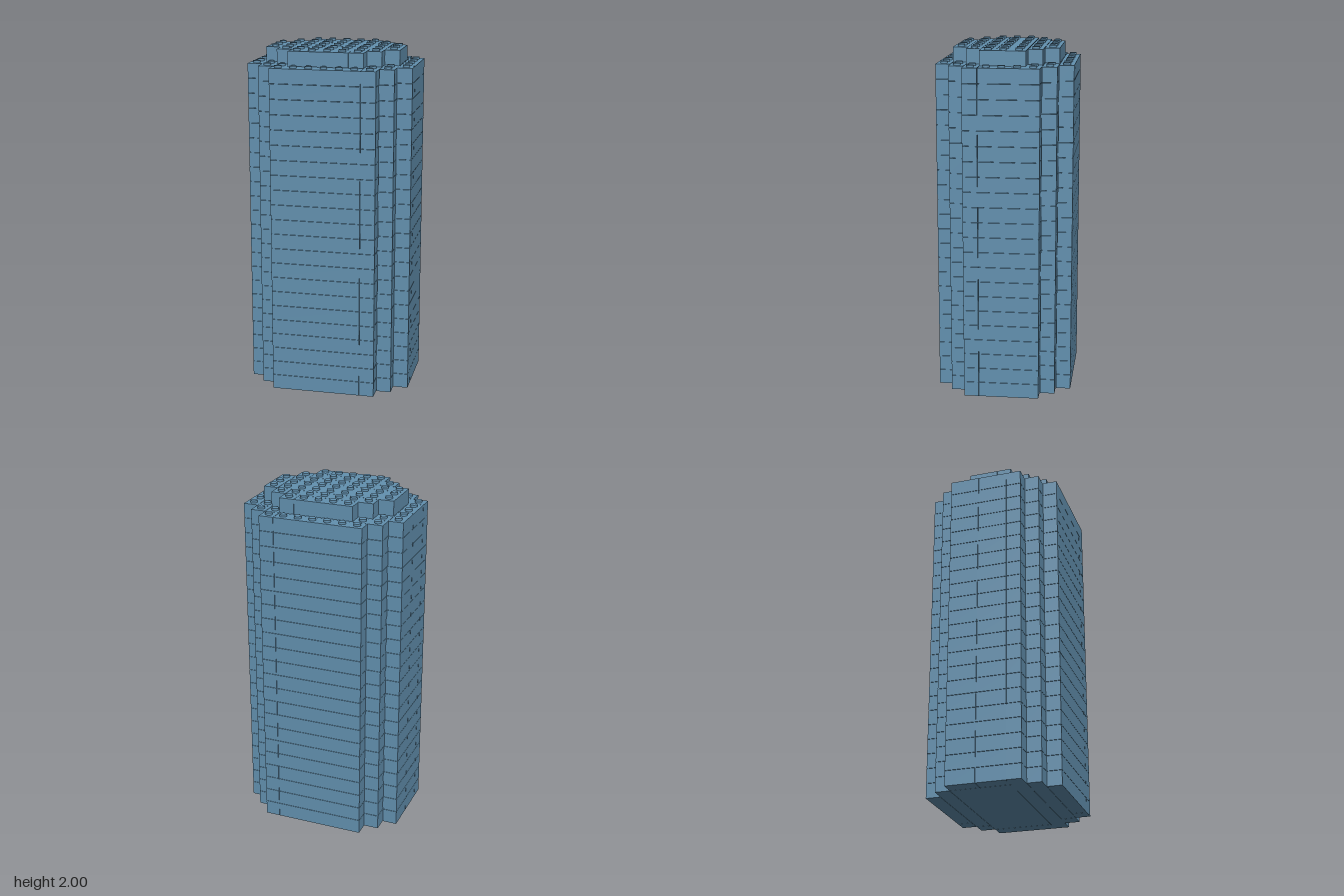
import * as THREE from 'three';

const U = 0.0864;      // stud pitch and course height
const GAP = 0.002;     // seam between neighbouring bricks
const STUD_H = 0.0128;
const COLS = 11, ROWS = 9, COURSES = 22;

// Brick footprints in stud cells: [x0, x1, z0, z1]
const wallCourse = [
  [2, 8, 0, 1], [8, 9, 0, 1],
  [1, 9, 1, 2], [9, 10, 1, 2],
  [0, 1, 2, 4], [0, 1, 4, 6], [1, 10, 2, 6], [10, 11, 2, 6],
  [0, 11, 6, 7],
  [1, 9, 7, 8], [9, 10, 7, 8],
  [2, 8, 8, 9], [8, 9, 8, 9],
];
const capCourse = [
  [3, 7, 1, 2], [7, 8, 1, 2],
  [2, 8, 2, 3], [8, 9, 2, 3],
  [1, 9, 3, 5], [1, 9, 5, 6], [9, 10, 3, 6],
  [2, 8, 6, 7], [8, 9, 6, 7],
  [3, 7, 7, 8], [7, 8, 7, 8],
];

export function createModel() {
  const model = new THREE.Group();
  model.name = 'brickTower';
  const blue = new THREE.MeshStandardMaterial({ color: 0x6391b0 });
  blue.name = 'soft blue';

  const cellX = (i) => (i - COLS / 2) * U;
  const cellZ = (i) => (i - ROWS / 2) * U;
  const studGeo = new THREE.CylinderGeometry(0.0203, 0.0203, STUD_H, 24);

  // One course of bricks
  function addCourse(layout, level, name) {
    const course = new THREE.Group();
    course.name = name;
    for (const [x0, x1, z0, z1] of layout) {
      const brick = new THREE.Mesh(
        new THREE.BoxGeometry((x1 - x0) * U - GAP, U - GAP, (z1 - z0) * U - GAP), blue);
      brick.name = 'brick';
      brick.position.set(cellX((x0 + x1) / 2), (level + 0.5) * U, cellZ((z0 + z1) / 2));
      course.add(brick);
    }
    model.add(course);
    return course;
  }

  // Studs on every cell of a course that is not covered from above
  function addStuds(course, layout, level, cover) {
    const covered = (x, z) => cover.some(([a, b, c, d]) => x >= a && x < b && z >= c && z < d);
    for (const [x0, x1, z0, z1] of layout)
      for (let x = x0; x < x1; x++)
        for (let z = z0; z < z1; z++) {
          if (covered(x, z)) continue;
          const stud = new THREE.Mesh(studGeo, blue);
          stud.name = 'stud';
          stud.position.set(cellX(x + 0.5), (level + 1) * U + STUD_H / 2 - GAP / 2, cellZ(z + 0.5));
          course.add(stud);
        }
  }

  // Stacked wall with a smaller stepped cap
  let top;
  for (let i = 0; i < COURSES; i++) top = addCourse(wallCourse, i, 'wallCourse');
  addStuds(top, wallCourse, COURSES - 1, capCourse);
  const cap = addCourse(capCourse, COURSES, 'capCourse');
  addStuds(cap, capCourse, COURSES, []);

  return model;
}
